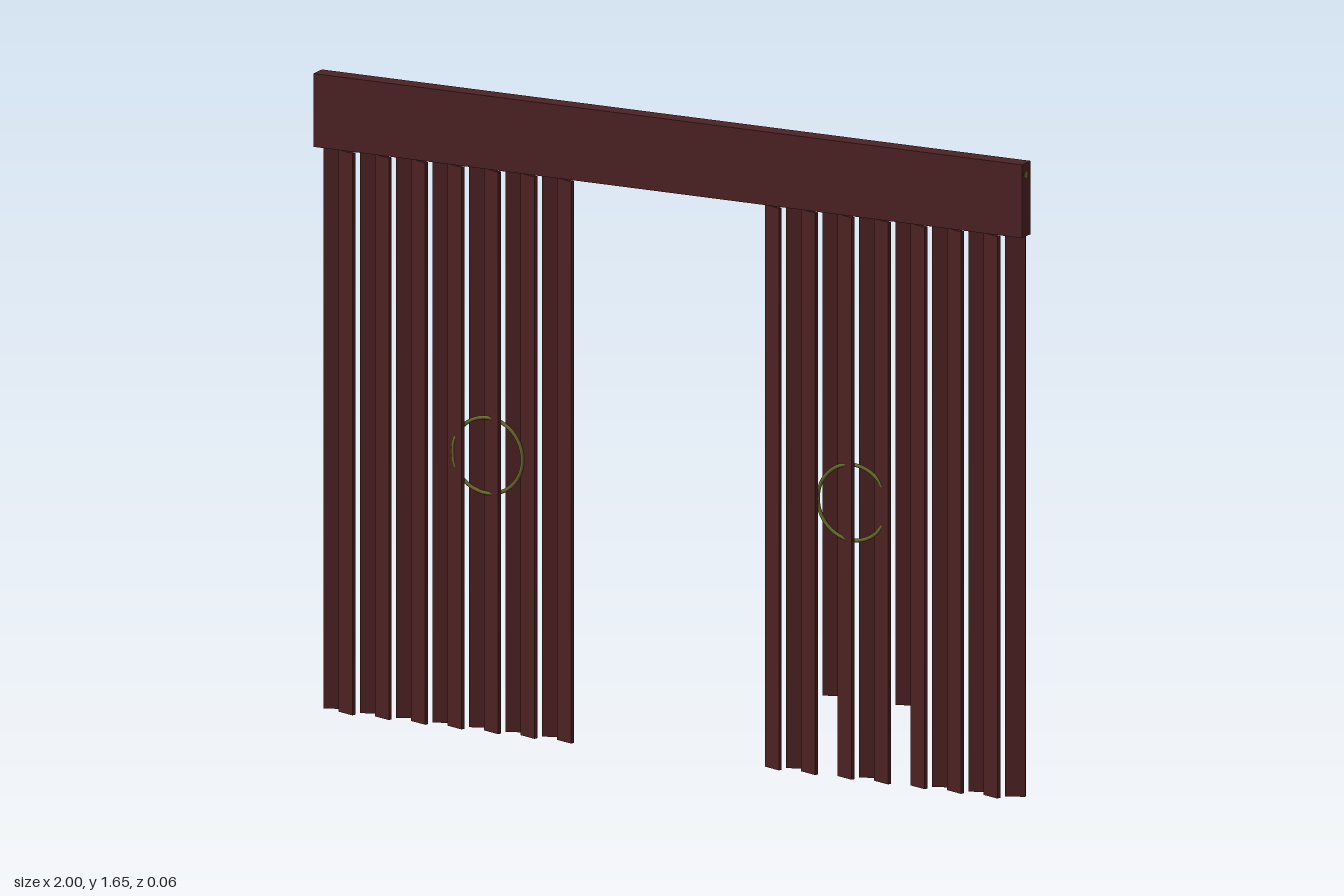
import * as THREE from 'three';

export function createModel() {
  const model = new THREE.Group();
  model.name = 'slattedDoorway';

  const wood = new THREE.MeshStandardMaterial({ color: 0x4e2223 });
  wood.name = 'darkRedWood';
  const brass = new THREE.MeshStandardMaterial({ color: 0x6c6a2c });
  brass.name = 'oldBrass';

  function add(parent, name, geometry, material, x, y, z) {
    const mesh = new THREE.Mesh(geometry, material);
    mesh.name = name;
    mesh.position.set(x, y, z);
    parent.add(mesh);
    return mesh;
  }

  // Header beam with a thin rod running through it
  add(model, 'headerBeam', new THREE.BoxGeometry(2, 0.19, 0.046), wood, 0, 1.555, 0.005);
  const rod = add(model, 'headerRod', new THREE.CylinderGeometry(0.009, 0.009, 2.002, 12), brass, 0, 1.62, 0.008);
  rod.rotation.z = Math.PI / 2;

  // Panels of tilted slats, alternating between a back and a front row
  const count = 14, pitch = 0.0514, top = 1.456, tilt = 0.35;
  function addPanel(name, startX, backParity, shortSlats, ringX) {
    const panel = new THREE.Group();
    panel.name = name;
    model.add(panel);
    for (let i = 0; i < count; i++) {
      const isBack = i % 2 === backParity;
      const bottom = shortSlats.includes(i) ? 0.2 : 0;
      const slat = add(panel, isBack ? 'backSlat' : 'frontSlat',
        new THREE.BoxGeometry(0.052, top - bottom, 0.01), wood,
        startX + (i + 0.5) * pitch, (top + bottom) / 2, isBack ? -0.0145 : 0.0145);
      slat.rotation.y = isBack ? tilt : -tilt;
    }
    // Ring woven between the slats
    add(panel, 'ring', new THREE.TorusGeometry(0.098, 0.005, 8, 48), brass, ringX, 0.715, 0.015);
  }
  addPanel('rightPanel', -0.99, 0, [], -0.515);
  addPanel('leftPanel', 0.265, 1, [3, 7], 0.515);

  return model;
}
